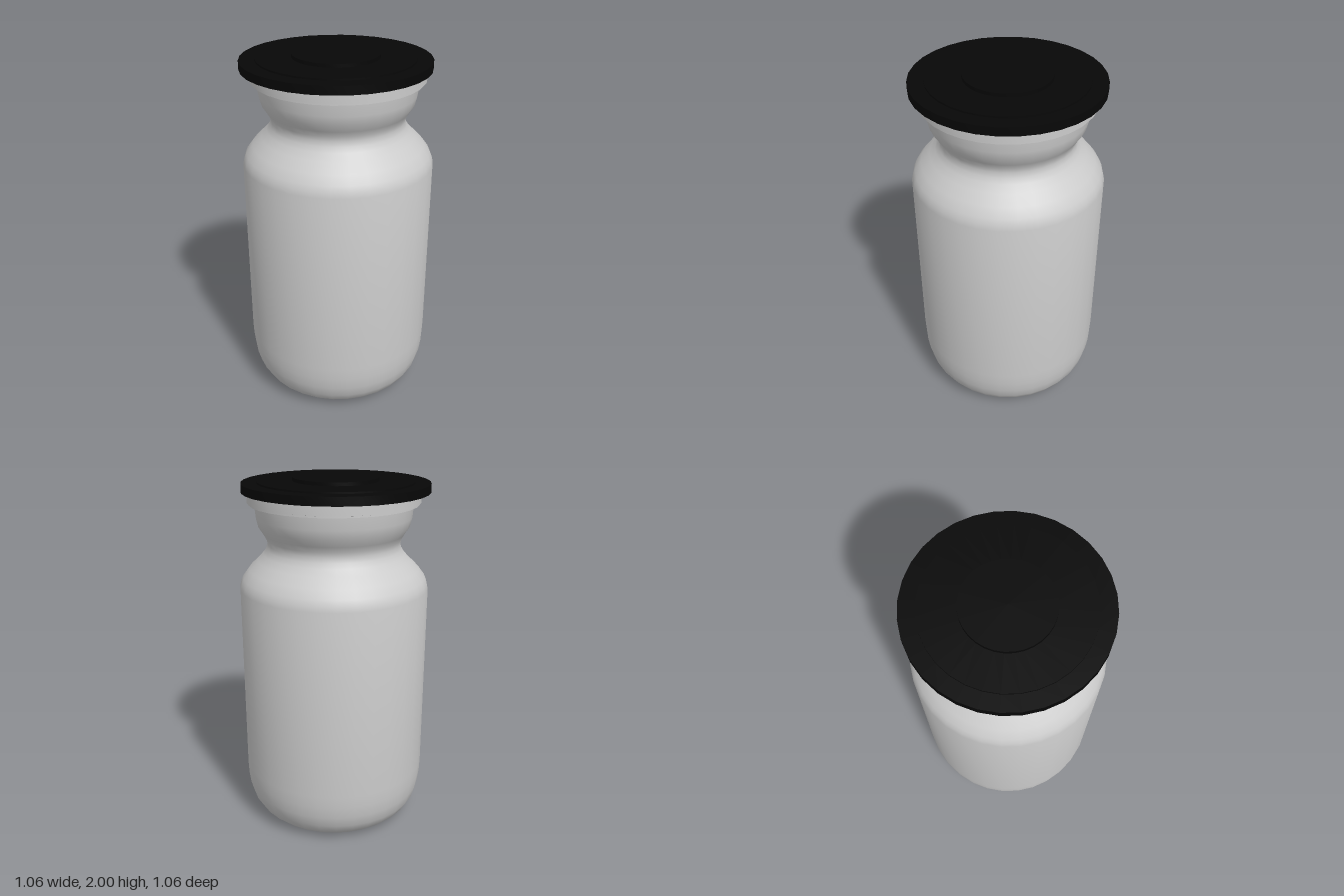
import * as THREE from 'three';
import { toCreasedNormals } from 'three/addons/utils/BufferGeometryUtils.js';

const SIDES = 32;

// Revolve a bottom-to-top [radius, height] profile, keeping hard edges sharp
function turned(name, profile, color, crease) {
  const points = profile.map(([r, y]) => new THREE.Vector2(r, y));
  const geometry = toCreasedNormals(new THREE.LatheGeometry(points, SIDES), crease);
  const mesh = new THREE.Mesh(geometry, new THREE.MeshStandardMaterial({ color, side: THREE.DoubleSide }));
  mesh.name = name;
  return mesh;
}

export function createModel() {
  const model = new THREE.Group();
  model.name = 'jar';

  // Flat base disc
  model.add(turned('base', [[0, 0], [0.375, 0]], 0xcccccc, 0.6));

  // Rounded foot, straight wall, shoulder, pinched neck and collar
  model.add(turned('body', [
    [0.375, 0], [0.425, 0.022], [0.467, 0.06], [0.5, 0.115], [0.518, 0.18], [0.527, 0.25], [0.53, 0.32],
    [0.53, 1.395], [0.523, 1.425], [0.51, 1.455], [0.475, 1.502], [0.425, 1.55], [0.393, 1.585],
    [0.376, 1.612], [0.369, 1.64], [0.374, 1.667], [0.39, 1.697], [0.418, 1.74],
    [0.43, 1.79], [0.437, 1.86],
  ], 0xcccccc, 0.7));

  // Stepped mouth rim, turning in under the lid
  model.add(turned('rim', [
    [0.437, 1.86], [0.467, 1.86], [0.467, 1.869], [0.476, 1.871], [0.476, 1.922], [0.4, 1.922], [0.4, 1.86],
  ], 0xcccccc, 0.6));

  // Thin lid with two raised steps, sitting slightly off centre
  const lid = turned('lid', [
    [0, 1.925], [0.515, 1.925], [0.515, 1.972], [0.43, 1.972], [0.43, 1.981],
    [0.237, 1.981], [0.237, 2], [0, 2],
  ], 0x070707, 0.6);
  lid.position.set(-0.01, 0, -0.003);
  model.add(lid);

  return model;
}
